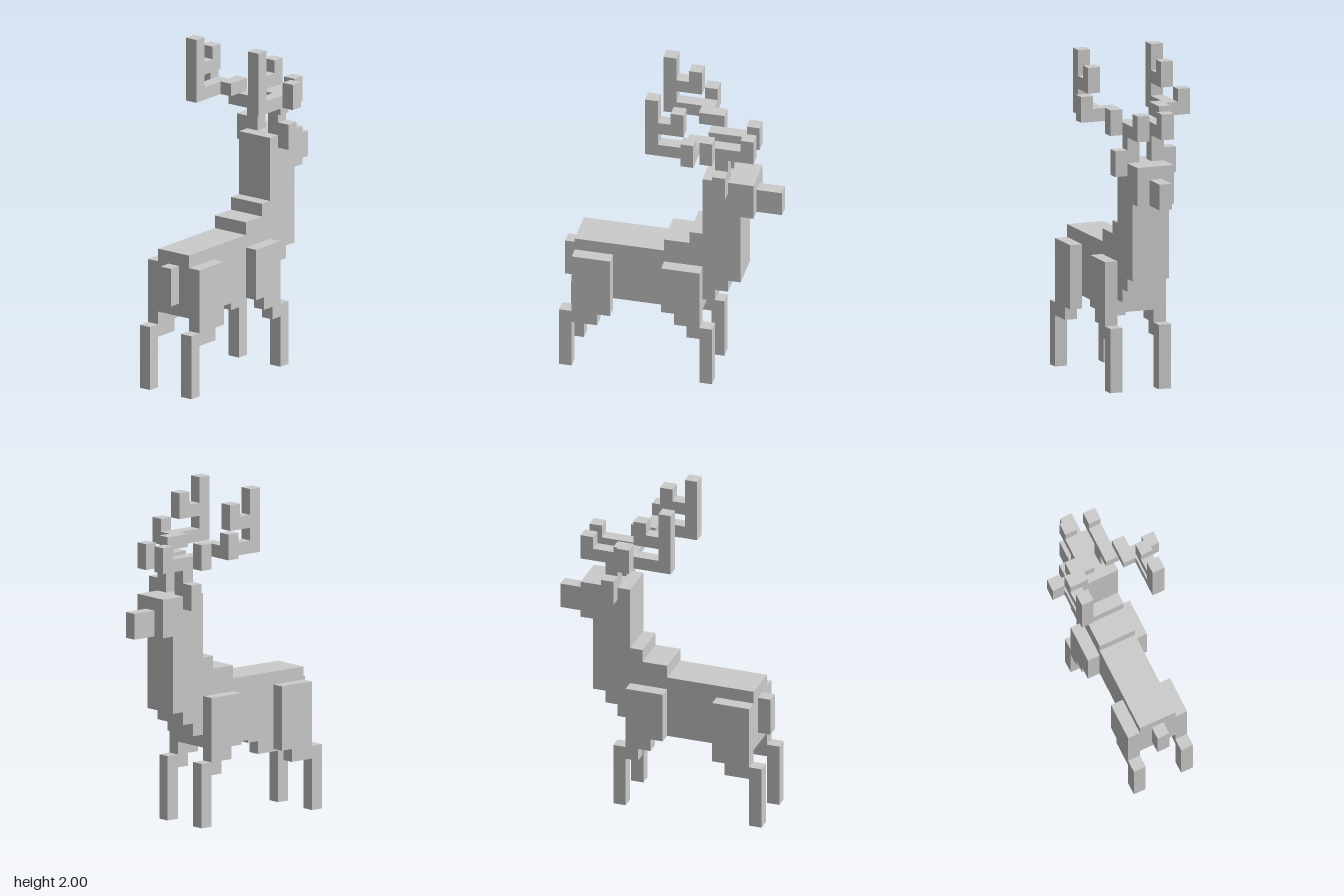
import * as THREE from 'three';

const U = 2 / 26; // one block
const material = new THREE.MeshStandardMaterial({ color: 0xcccccc, flatShading: true });

function addMesh(parent, name, geometry) {
  const mesh = new THREE.Mesh(geometry, material);
  mesh.name = name;
  parent.add(mesh);
}

// Box from block ranges; side = -1 mirrors it in x
function block(parent, name, [x0, x1], [y0, y1], [z0, z1], side = 1) {
  const g = new THREE.BoxGeometry((x1 - x0) * U, (y1 - y0) * U, (z1 - z0) * U);
  g.translate(side * (x0 + x1) / 2 * U, (y0 + y1) / 2 * U, (z0 + z1) / 2 * U);
  addMesh(parent, name, g);
}

// Side outline of [z, y] block corners, extruded across x
function slab(parent, name, outline, [x0, x1], side = 1) {
  const shape = new THREE.Shape(outline.map(([z, y]) => new THREE.Vector2(z * U, y * U)));
  const width = (x1 - x0) * U;
  const g = new THREE.ExtrudeGeometry(shape, { depth: width, bevelEnabled: false });
  g.rotateY(-Math.PI / 2);
  g.translate(side * (x0 + x1) / 2 * U + width / 2, 0, 0);
  addMesh(parent, name, g);
}

export function createModel() {
  const deer = new THREE.Group();
  deer.name = 'deer';

  // Body, stepped chest, neck and head
  slab(deer, 'body', [
    [7.5, 6], [7.5, 11], [0.5, 11], [0.5, 12], [-1.5, 12], [-1.5, 13], [-2.5, 13],
    [-2.5, 18], [-6.5, 18], [-6.5, 15], [-5.5, 15], [-5.5, 9], [-4.5, 9],
    [-4.5, 8], [-3.5, 8], [-3.5, 7], [-2.5, 7], [-2.5, 6],
  ], [-1.5, 1.5]);
  block(deer, 'snout', [-0.5, 0.5], [15, 17], [-8.5, -6.5]);
  block(deer, 'tail', [-0.5, 0.5], [7, 10], [7.5, 8.5]);

  for (const side of [1, -1]) {
    const label = side > 0 ? 'left' : 'right';
    const legX = [1.5, 2.5];

    // Legs: stepped upper part with a straight shank
    slab(deer, label + 'HindLeg', [
      [4.5, 10], [4.5, 5], [5.5, 5], [5.5, 4], [7.5, 4], [7.5, 0],
      [8.5, 0], [8.5, 5], [7.5, 5], [7.5, 10],
    ], legX, side);
    slab(deer, label + 'ForeLeg', [
      [0.5, 10], [0.5, 6], [-0.5, 6], [-0.5, 5], [-1.5, 5], [-1.5, 4], [-2.5, 4],
      [-2.5, 0], [-3.5, 0], [-3.5, 5], [-2.5, 5], [-2.5, 10],
    ], legX, side);

    block(deer, label + 'Ear', [1.5, 2.5], [17, 19], [-4.5, -3.5], side);

    // Antler
    const antler = new THREE.Group();
    antler.name = label + 'Antler';
    deer.add(antler);
    block(antler, 'antlerStem', [0.5, 1.5], [18, 20], [-4.5, -3.5], side);
    block(antler, 'antlerBase', [0.5, 1.5], [20, 21], [-6.5, -2.5], side);
    block(antler, 'browTine', [0.5, 1.5], [21, 22], [-6.5, -5.5], side);
    block(antler, 'antlerJoint', [1.5, 2.5], [20, 22], [-3.5, -2.5], side);
    block(antler, 'antlerBridge', [1.5, 2.5], [21, 22], [-2.5, -1.5], side);
    block(antler, 'outerTine', [3.5, 4.5], [21, 23], [-2.5, -1.5], side);
    // Rear beam with its upright and forked tine
    slab(antler, 'rearBeam', [
      [-2.5, 21], [1.5, 21], [1.5, 26], [0.5, 26], [0.5, 24], [-0.5, 24], [-0.5, 25],
      [-1.5, 25], [-1.5, 23], [0.5, 23], [0.5, 22], [-2.5, 22],
    ], [2.5, 3.5], side);
  }
  return deer;
}
